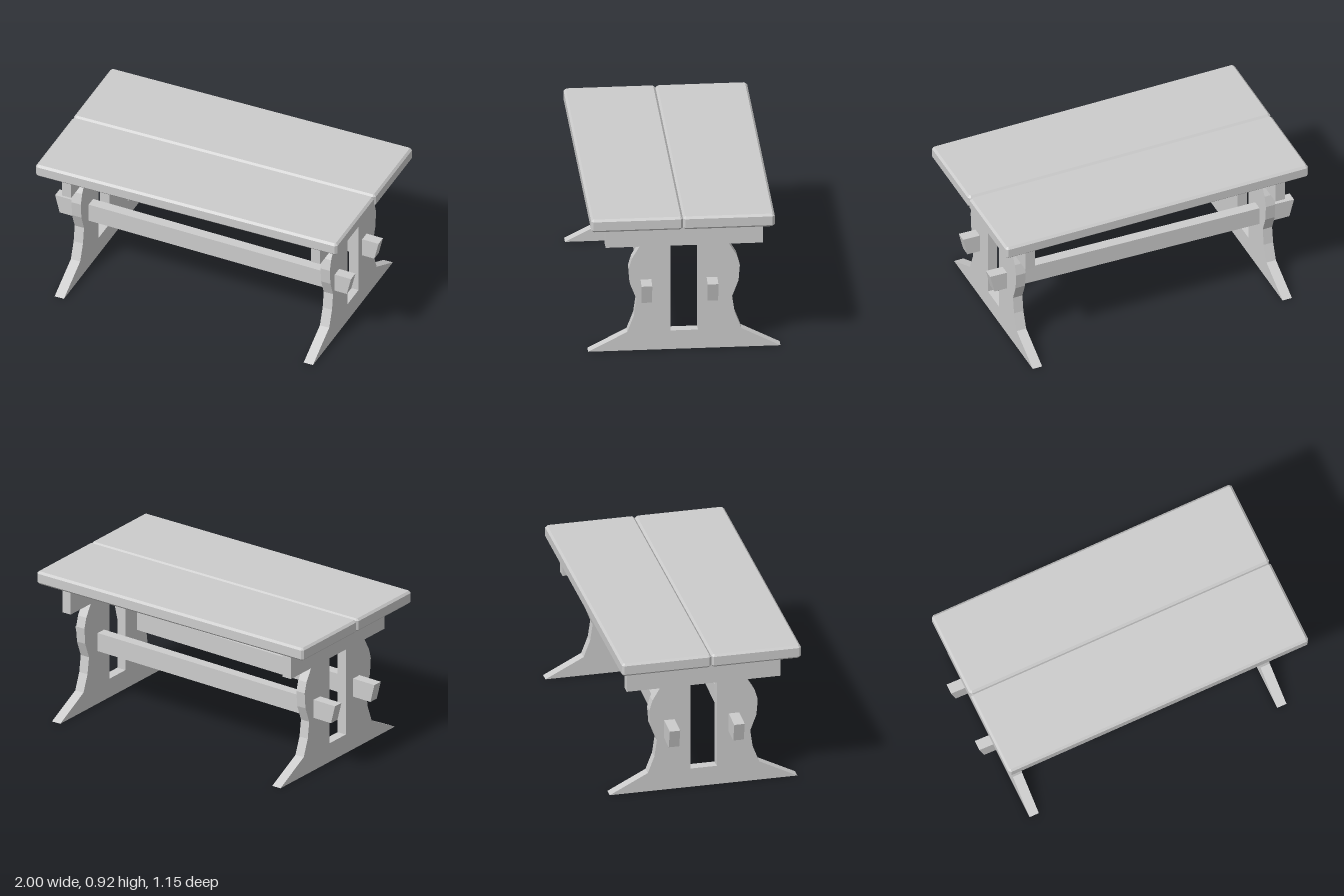
import * as THREE from 'three';

const material = new THREE.MeshStandardMaterial({ color: 0xcccccc });

function add(group, name, geometry) {
  const mesh = new THREE.Mesh(geometry, material);
  mesh.name = name;
  group.add(mesh);
  return mesh;
}

const toShape = (points) => new THREE.Shape(points.map(([x, y]) => new THREE.Vector2(x, y)));

// Tabletop plank with chamfered edges and corners
function plankGeometry(length, height, width, c) {
  const x = length / 2 - c, z = width / 2 - c, k = 0.006;
  const shape = toShape([
    [-x + k, -z], [x - k, -z], [x, -z + k], [x, z - k],
    [x - k, z], [-x + k, z], [-x, z - k], [-x, -z + k],
  ]);
  const geometry = new THREE.ExtrudeGeometry(shape, {
    depth: height - 2 * c, bevelEnabled: true, bevelSize: c, bevelThickness: c, bevelSegments: 1,
  });
  return geometry.rotateX(-Math.PI / 2).translate(0, c, 0);
}

// Trestle end: splayed foot, wavy sides, crossbar on top and a central slot
function trestleGeometry(thickness) {
  const half = [
    [0.573, 0], [0.34, 0.12], [0.3, 0.225], [0.285, 0.33], [0.323, 0.43],
    [0.331, 0.53], [0.312, 0.595], [0.267, 0.67], [0.469, 0.67], [0.469, 0.836],
  ];
  const mirrored = half.map(([z, y]) => [-z, y]).reverse();
  const shape = toShape([...half, ...mirrored]);
  shape.holes.push(toShape([[-0.081, 0.12], [-0.081, 0.67], [0.081, 0.67], [0.081, 0.12]]));
  return new THREE.ExtrudeGeometry(shape, { depth: thickness, bevelEnabled: false })
    .translate(0, 0, -thickness / 2)
    .rotateY(-Math.PI / 2);
}

// Stretcher with slanted ends, running slightly askew between the trestles
function stretcherGeometry(width, skew) {
  const shape = toShape([[-0.97, 0.34], [0.925, 0.34], [0.953, 0.457], [-1, 0.457]]);
  const geometry = new THREE.ExtrudeGeometry(shape, { depth: width, bevelEnabled: false });
  const p = geometry.attributes.position;
  for (let i = 0; i < p.count; i++) p.setZ(i, p.getZ(i) + p.getX(i) * skew);
  geometry.computeVertexNormals();
  return geometry;
}

export function createModel() {
  const table = new THREE.Group();
  table.name = 'trestleTable';

  // Two planks with a narrow groove between them
  for (const [name, z] of [['frontPlank', 0.293], ['backPlank', -0.254]]) {
    add(table, name, plankGeometry(1.967, 0.082, 0.547, 0.013)).position.set(0.0135, 0.835, z);
  }

  for (const [name, x] of [['rightTrestle', -0.809], ['leftTrestle', 0.815]]) {
    add(table, name, trestleGeometry(0.061)).position.x = x;
  }

  for (const [name, z] of [['frontStretcher', 0.175], ['backStretcher', -0.219]]) {
    add(table, name, stretcherGeometry(0.064, 0.026)).position.z = z;
  }

  return table;
}
